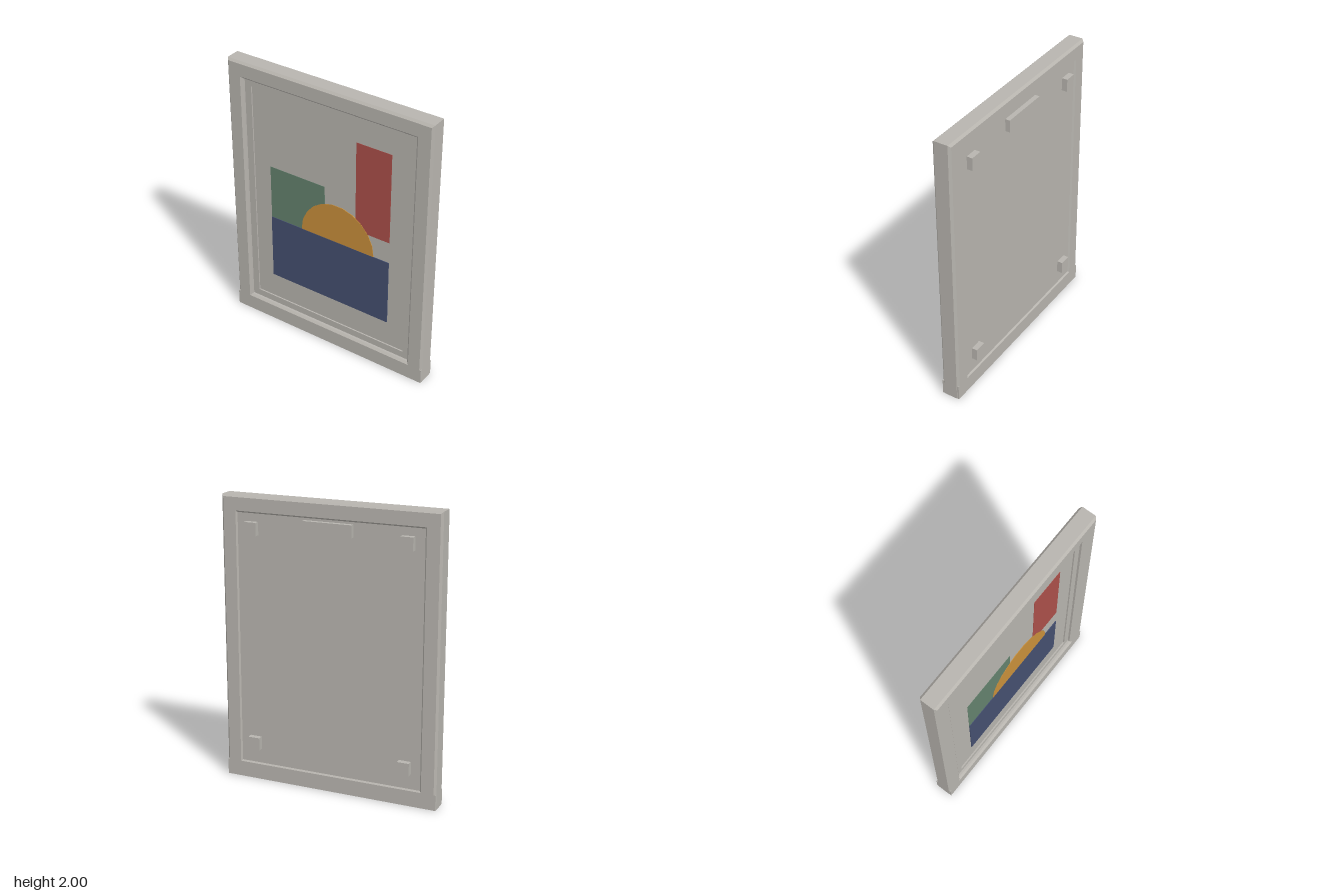
import * as THREE from 'three';

const material = (name, color) => {
  const m = new THREE.MeshStandardMaterial({ color });
  m.name = name;
  return m;
};

// Rectangular outline from its left, right, bottom and top
function rect(x0, x1, y0, y1, Type = THREE.Shape) {
  const s = new Type();
  s.moveTo(x0, y0);
  s.lineTo(x1, y0);
  s.lineTo(x1, y1);
  s.lineTo(x0, y1);
  s.closePath();
  return s;
}

export function createModel() {
  const group = new THREE.Group();
  const grey = material('warm grey', 0xb8b5af);
  const red = material('red', 0xac504a);
  const green = material('green', 0x64826e);
  const blue = material('navy blue', 0x455070);
  const orange = material('orange', 0xca903b);

  const add = (name, geometry, mat) => {
    const mesh = new THREE.Mesh(geometry, mat);
    mesh.name = name;
    group.add(mesh);
    return mesh;
  };
  const box = (name, x0, x1, y0, y1, z0, z1, mat = grey) => {
    const mesh = add(name, new THREE.BoxGeometry(x1 - x0, y1 - y0, z1 - z0), mat);
    mesh.position.set((x0 + x1) / 2, (y0 + y1) / 2, (z0 + z1) / 2);
    return mesh;
  };

  // Frame with chamfered outer and inner edges
  const b = 0.015;
  const outline = rect(-0.765, 0.765, b, 1.985);
  outline.holes.push(rect(-0.675, 0.675, 0.11, 1.895, THREE.Path));
  const frame = new THREE.ExtrudeGeometry(outline, {
    depth: 0.1, bevelEnabled: true, bevelThickness: b, bevelSize: b, bevelSegments: 1,
  });
  frame.translate(0, 0, -0.05 + b);
  add('frame', frame, grey);

  // Square bottom rail, where the chamfers stop
  box('bottomRail', -0.778, 0.778, 0, 0.11, -0.05, 0.08);

  // Backing panel, and mat with its window
  box('backingPanel', -0.665, 0.665, 0.12, 1.885, -0.04, 0.04);
  const matShape = rect(-0.665, 0.665, 0.12, 1.885);
  matShape.holes.push(rect(-0.61, 0.61, 0.175, 1.83, THREE.Path));
  const matGeometry = new THREE.ExtrudeGeometry(matShape, { depth: 0.012, bevelEnabled: false });
  matGeometry.translate(0, 0, 0.038);
  add('mat', matGeometry, grey);

  // Artwork, layered as thin plates
  box('greenBlock', -0.478, -0.035, 0.84, 1.26, 0.038, 0.042, green);
  box('redBlock', 0.21, 0.475, 1.015, 1.68, 0.038, 0.042, red);
  const sun = new THREE.ExtrudeGeometry(
    new THREE.Shape(Array.from({ length: 12 }, (_, i) => {
      const a = (i / 11) * Math.PI;
      return new THREE.Vector2(0.065 + 0.29 * Math.cos(a), 0.855 + 0.292 * Math.sin(a));
    })),
    { depth: 0.006, bevelEnabled: false },
  );
  sun.translate(0, 0, 0.038);
  add('halfSun', sun, orange);
  box('blueBlock', -0.478, 0.475, 0.365, 0.857, 0.038, 0.046, blue);

  // Hanger and four wall bumpers on the back
  box('hanger', -0.175, 0.175, 1.785, 1.87, -0.073, -0.035);
  for (const side of [-1, 1]) {
    for (const y of [0.27, 1.785]) {
      box('wallBumper', side * 0.555 - 0.043, side * 0.555 + 0.043, y - 0.045, y + 0.045, -0.08, -0.035);
    }
  }

  return group;
}
